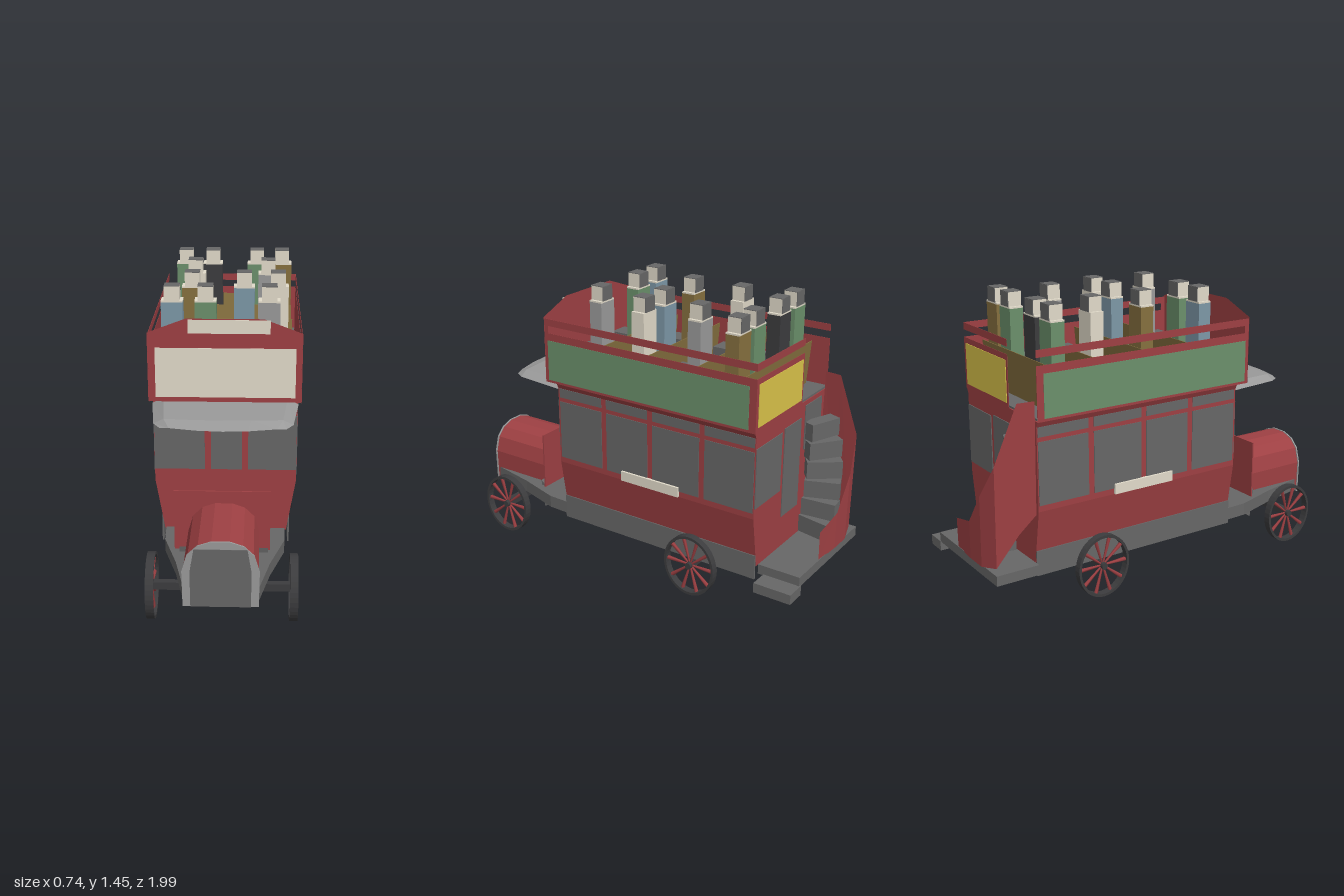
import * as THREE from 'three';

const mat = (name, color, side = THREE.FrontSide) => {
  const m = new THREE.MeshStandardMaterial({ color, side });
  m.name = name;
  return m;
};

export function createModel() {
  const red = mat('red paint', 0x9e4043, THREE.DoubleSide);
  const grey = mat('grey', 0x676767);
  const light = mat('light grey', 0x9a9a9a, THREE.DoubleSide);
  const dark = mat('dark rubber', 0x3c3c3e);
  const cream = mat('cream', 0xe2dbca);
  const green = mat('green', 0x6b906b);
  const yellow = mat('yellow', 0xdac34a);
  const brown = mat('brown', 0x86703f);
  const blue = mat('blue', 0x7d98a7);

  const bus = new THREE.Group();
  bus.name = 'doubleDeckBus';
  bus.position.x = -0.01;

  const add = (name, geo, m, parent = bus) => {
    const mesh = new THREE.Mesh(geo, m);
    mesh.name = name;
    parent.add(mesh);
    return mesh;
  };
  // box given by its min and max on each axis
  const box = (name, m, x0, x1, y0, y1, z0, z1, parent = bus) => {
    const mesh = add(name, new THREE.BoxGeometry(x1 - x0, y1 - y0, z1 - z0), m, parent);
    mesh.position.set((x0 + x1) / 2, (y0 + y1) / 2, (z0 + z1) / 2);
    return mesh;
  };
  const shape = pts => new THREE.Shape(pts.map(p => new THREE.Vector2(...p)));
  const mirrored = pts => [...pts, ...pts.slice().reverse().map(([x, y]) => [-x, y])];
  const extrude = (s, depth) => new THREE.ExtrudeGeometry(s, { depth, bevelEnabled: false, curveSegments: 20 });
  // sheet through rows of points, flat shaded
  const sheet = rows => {
    const pos = [];
    for (let i = 0; i < rows.length - 1; i++)
      for (let j = 0; j < rows[i].length - 1; j++) {
        const a = rows[i][j], b = rows[i + 1][j], c = rows[i + 1][j + 1], d = rows[i][j + 1];
        pos.push(...a, ...b, ...c, ...a, ...c, ...d);
      }
    const g = new THREE.BufferGeometry();
    g.setAttribute('position', new THREE.Float32BufferAttribute(pos, 3));
    g.computeVertexNormals();
    return g;
  };

  // lower saloon: shell open underneath, tapered below the windows
  const section = mirrored([[0.3, 0.255], [0.344, 0.52], [0.344, 0.925], [0.358, 0.953]]);
  add('saloonSides', sheet(section.map(([x, y]) => [[x, y, 0.37], [x, y, -0.77]])), red);
  for (const z of [0.37, -0.77]) add('saloonEnd', new THREE.ShapeGeometry(shape(section)), red).position.z = z;
  box('upperDeckFloor', grey, -0.354, 0.354, 0.957, 0.967, -0.77, 0.37);

  // saloon side windows, signs, upper side panels and rails
  const panes = [[0.10, 0.36], [-0.175, 0.07], [-0.47, -0.205], [-0.765, -0.50]];
  for (const s of [-1, 1]) {
    const side = (name, m, a, b, ...r) => box(name, m, Math.min(s * a, s * b), Math.max(s * a, s * b), ...r);
    for (const [z0, z1] of panes) {
      side('sideWindow', grey, 0.343, 0.347, 0.55, 0.855, z0, z1);
      side('sideTopLight', grey, 0.343, 0.347, 0.877, 0.925, z0, z1);
    }
    side('sideBoard', cream, 0.344, 0.358, 0.523, 0.573, -0.36, -0.025);
    side('upperSidePanel', red, 0.356, 0.358, 0.95, 1.208, -0.77, 0.435);
    side('upperSideSign', green, 0.357, 0.36, 0.963, 1.17, -0.735, 0.415);
    side('upperRail', red, 0.356, 0.358, 1.245, 1.28, -0.77, 0.435);
    side('railPost', red, 0.356, 0.358, 1.2, 1.25, 0.41, 0.435);
    side('chassisRail', grey, 0.307, 0.315, 0.19, 0.315, -0.77, 0.37);
  }

  // front windows
  for (const [x0, x1] of [[-0.343, -0.1], [-0.07, 0.08], [0.11, 0.343]])
    box('frontWindow', grey, x0, x1, 0.58, 0.86, 0.367, 0.373);

  // upper deck front panel
  const frontShape = shape(mirrored([[0.36, 0.952], [0.36, 1.287], [0.18, 1.355]]));
  add('upperFrontPanel', new THREE.ShapeGeometry(frontShape), red).position.z = 0.434;
  box('frontBoard', cream, -0.325, 0.33, 0.975, 1.215, 0.4345, 0.4365);
  box('destinationBoard', cream, -0.17, 0.21, 1.285, 1.35, 0.4345, 0.4365);

  // driver canopy
  const canopyRow = (z, w, y, drop, bow) => [-1, -0.85, -0.4, 0, 0.4, 0.85, 1].map(u =>
    [u * w, y - (Math.abs(u) === 1 ? drop : 0), z - bow * u * u]);
  add('driverCanopy', sheet([
    canopyRow(0.37, 0.348, 0.95, 0.03, 0), canopyRow(0.66, 0.318, 0.946, 0.025, 0.02),
    canopyRow(0.742, 0.285, 0.925, 0.005, 0.05),
  ]), light);

  // rear wall: upper panel with sign, saloon window, door
  box('upperRearPanel', red, -0.09, 0.358, 0.95, 1.208, -0.772, -0.77);
  box('rearSign', yellow, -0.075, 0.338, 0.975, 1.18, -0.775, -0.771);
  box('rearRail', red, -0.09, 0.358, 1.245, 1.28, -0.772, -0.77);
  box('rearWindow', grey, 0.1, 0.34, 0.57, 0.87, -0.774, -0.768);
  box('rearDoor', grey, -0.09, 0.075, 0.42, 0.88, -0.774, -0.768);
  box('stairHeadPanel', grey, -0.3, -0.13, 0.7, 0.93, -0.774, -0.768);

  // rear platform and boarding step
  box('rearPlatform', grey, -0.335, 0.28, 0.205, 0.255, -0.99, -0.77);
  box('boardingStep', grey, 0.27, 0.375, 0.16, 0.21, -0.995, -0.8);
  box('platformBeam', grey, -0.13, -0.05, 0.16, 0.21, -0.95, -0.8);

  // winding stair and its curved outer screen
  const stair = new THREE.Group();
  stair.name = 'stair';
  bus.add(stair);
  for (let i = 0; i < 6; i++) {
    const tread = new THREE.Group();
    tread.name = 'stairTread';
    tread.position.set(-0.13, 0.275 + 0.096 * i, -0.79);
    tread.rotation.y = -0.2 + i * 0.28;
    box('treadBlock', grey, -0.035, 0.035, 0, 0.088, -0.175, 0, tread);
    stair.add(tread);
  }
  add('stairScreen', sheet([
    [-0.335, -0.77, 1.045, 0.5], [-0.325, -0.855, 1.045, 0.42], [-0.305, -0.968, 0.765, 0.27],
    [-0.2, -0.995, 0.6, 0.25], [-0.08, -0.995, 0.44, 0.25], [0.08, -0.985, 0.4, 0.25],
  ].map(([x, z, top, low]) => [[x, top, z], [x * 0.96, low, z]])), red, stair);

  // driver floor and tapered front chassis
  const plan = shape(mirrored([[0.295, 0.36], [0.29, 0.5], [0.22, 0.73], [0.165, 0.98]]));
  add('frontChassis', extrude(plan, 0.065).rotateX(Math.PI / 2), grey).position.y = 0.262;
  const footwell = shape([[0.63, 0.29], [0.52, 0.2], [0.61, 0.135]]);
  add('footwell', extrude(footwell, 0.42).rotateY(-Math.PI / 2), grey).position.x = 0.21;

  // bonnet, radiator and dash
  const hood = [[0.165, 0.2], [0.168, 0.36], [0.145, 0.44], [0.1, 0.485], [0.04, 0.506]];
  add('bonnet', extrude(shape(mirrored(hood)), 0.39), red).position.z = 0.597;
  const rim = hood.map(([x, y], i) => [x * 1.03, i ? y + 0.003 : 0.188]);
  add('radiatorShell', extrude(shape(mirrored(rim)), 0.008), light).position.z = 0.987;
  const core = [[0.135, 0.188], [0.137, 0.36], [0.118, 0.473]];
  add('radiatorCore', extrude(shape(mirrored(core)), 0.004), grey).position.z = 0.994;
  box('dash', red, -0.235, 0.22, 0.25, 0.567, 0.593, 0.6);

  // wheels and axles
  const ring = new THREE.Shape().absarc(0, 0, 0.16, 0, Math.PI * 2);
  ring.holes.push(new THREE.Path().absarc(0, 0, 0.146, 0, Math.PI * 2, true));
  const tyreGeo = extrude(ring, 0.038).translate(0, 0, -0.019).rotateY(Math.PI / 2);
  const hubGeo = new THREE.CylinderGeometry(0.018, 0.018, 0.045, 12).rotateZ(Math.PI / 2);
  const spokeGeo = new THREE.CylinderGeometry(0.011, 0.005, 0.138, 5).translate(0, 0.08, 0);
  for (const z of [0.77, -0.42]) {
    box('axle', dark, -0.33, 0.33, 0.146, 0.184, z - 0.016, z + 0.016);
    for (const s of [-1, 1]) {
      const wheel = new THREE.Group();
      wheel.name = 'wheel';
      wheel.position.set(s * 0.33, 0.162, z);
      wheel.scale.z = 0.89;
      add('tyre', tyreGeo, dark, wheel);
      add('hub', hubGeo, dark, wheel);
      for (let i = 0; i < 10; i++)
        add('spoke', spokeGeo, red, wheel).rotation.x = (i + 0.5) * Math.PI / 5;
      bus.add(wheel);
    }
  }

  // upper deck benches with seated passengers: [bench z, passenger z, [x, coat], ...]
  const bench = shape([[0.02, 0.966], [0.15, 0.966], [0.15, 1.07], [0.028, 1.07], [0.004, 1.19], [0, 1.19]]);
  const benchGeo = extrude(bench, 0.65).rotateY(-Math.PI / 2).translate(0.325, 0, 0);
  const rows = [
    [-0.69, -0.622, [-0.245, green], [-0.1, dark], [0.14, green], [0.275, brown]],
    [-0.44, -0.375, [-0.18, cream], [0.2, light]],
    [-0.165, -0.093, [-0.18, brown], [0.08, blue], [0.25, cream]],
    [0.095, 0.19, [-0.26, blue], [-0.1, green], [0.205, light]],
  ];
  for (const [z, pz, ...people] of rows) {
    add('bench', benchGeo, brown).position.z = z;
    for (const [x, coat] of people) {
      const p = new THREE.Group();
      p.name = 'passenger';
      p.position.set(x, 0, pz);
      box('coat', coat, -0.052, 0.052, 1.07, 1.375, -0.035, 0.035, p);
      box('collar', cream, -0.052, 0.052, 1.375, 1.383, -0.035, 0.035, p);
      box('head', cream, -0.037, 0.037, 1.383, 1.452, -0.033, 0.035, p);
      box('hairTop', grey, -0.037, 0.037, 1.452, 1.455, -0.035, 0.035, p);
      box('hairBack', grey, -0.037, 0.037, 1.383, 1.452, -0.036, -0.033, p);
      box('lap', grey, -0.052, 0.052, 1.07, 1.13, 0.03, 0.13, p);
      box('legs', grey, -0.052, 0.052, 0.966, 1.07, 0.09, 0.13, p);
      bus.add(p);
    }
  }

  const model = new THREE.Group();
  model.name = 'model';
  model.add(bus);
  return model;
}
